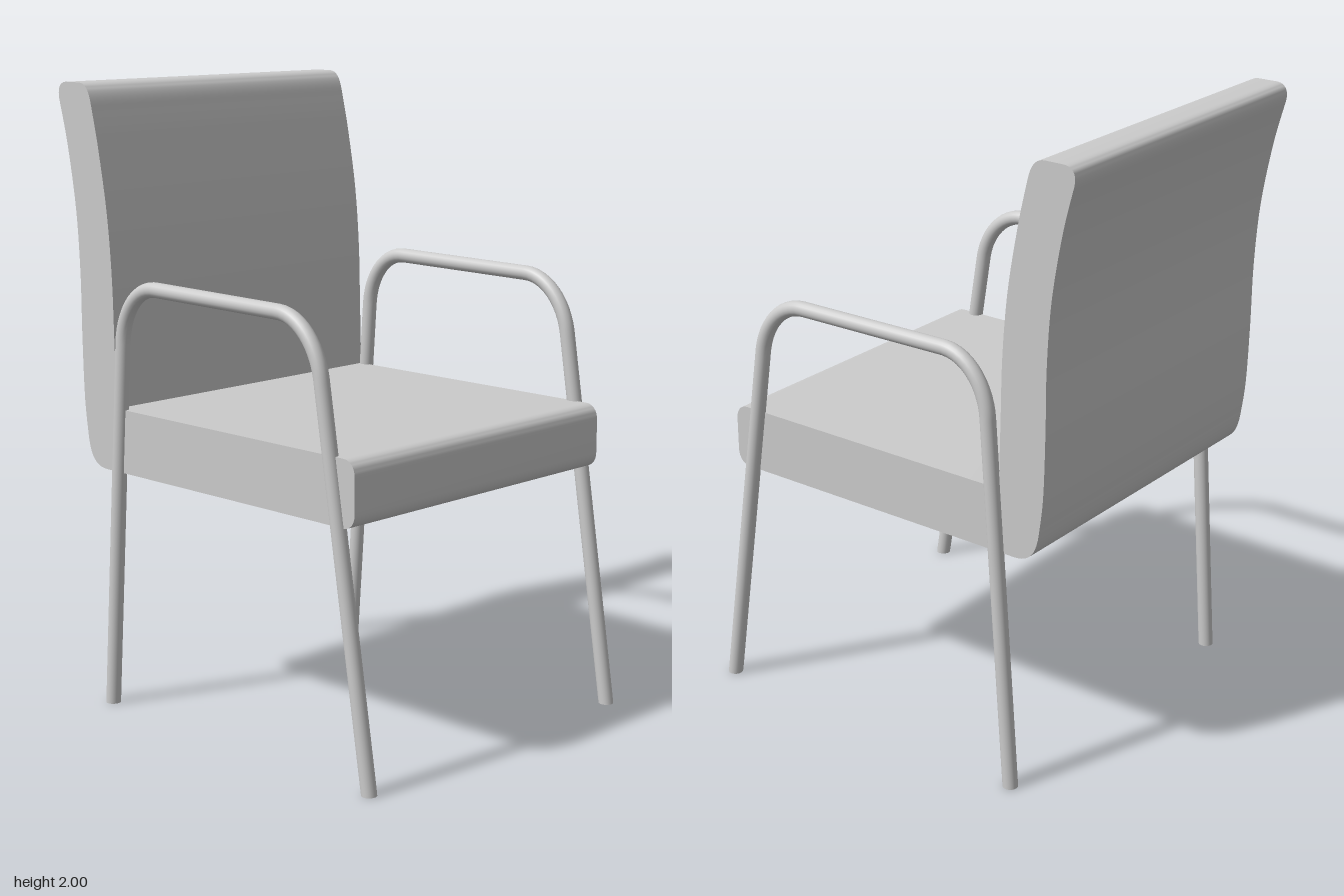
import * as THREE from 'three';
import { toCreasedNormals } from 'three/addons/utils/BufferGeometryUtils.js';

const material = new THREE.MeshStandardMaterial({ color: 0xcccccc });
const TUBE_R = 0.024;

// Padded seat and back: one side profile (z, y) extruded across the width
function createShell() {
  const s = new THREE.Shape();
  const v = (z, y) => new THREE.Vector2(z, y);
  s.moveTo(0.565, 0.78);
  s.bezierCurveTo(0.592, 0.78, 0.61, 0.8, 0.61, 0.83);
  s.lineTo(0.61, 0.935);
  s.bezierCurveTo(0.61, 0.965, 0.592, 0.985, 0.565, 0.985);
  s.lineTo(-0.435, 0.985);
  s.splineThru([v(-0.441, 1.2), v(-0.447, 1.4), v(-0.465, 1.6), v(-0.5, 1.8), v(-0.53, 1.93)]);
  s.bezierCurveTo(-0.54, 1.975, -0.555, 2, -0.59, 2);
  s.lineTo(-0.65, 2);
  s.bezierCurveTo(-0.68, 2, -0.695, 1.98, -0.687, 1.945);
  s.splineThru([v(-0.65, 1.8), v(-0.616, 1.6), v(-0.602, 1.4), v(-0.6, 1.2), v(-0.594, 1.0), v(-0.58, 0.88)]);
  s.bezierCurveTo(-0.57, 0.81, -0.545, 0.78, -0.49, 0.78);
  s.closePath();

  const width = 1.112;
  const geo = new THREE.ExtrudeGeometry(s, { depth: width, bevelEnabled: false, curveSegments: 10 });
  geo.translate(0, 0, -width / 2);
  geo.rotateY(-Math.PI / 2);
  geo.translate(-0.006, 0, 0);
  const mesh = new THREE.Mesh(toCreasedNormals(geo, 0.7), material);
  mesh.name = 'seatAndBack';
  return mesh;
}

// Bent tube: front leg, armrest and rear leg in one piece
function createSideFrame(x, name) {
  const p = (z, y) => new THREE.Vector3(x, y, z);
  const frontFoot = p(0.667, 0), rearFoot = p(-0.487, 0);
  const path = new THREE.CurvePath();
  const bend = (a, corner, b) => new THREE.CubicBezierCurve3(
    a, a.clone().lerp(corner, 0.57), b.clone().lerp(corner, 0.57), b);
  const f0 = p(0.475, 1.2), f1 = p(0.3, 1.377);
  const r0 = p(-0.24, 1.383), r1 = p(-0.402, 1.2);
  path.add(new THREE.LineCurve3(frontFoot, f0));
  path.add(bend(f0, p(0.447, 1.376), f1));
  path.add(new THREE.LineCurve3(f1, r0));
  path.add(bend(r0, p(-0.389, 1.385), r1));
  path.add(new THREE.LineCurve3(r1, rearFoot));

  const segments = 160, sides = 20;
  const geo = new THREE.TubeGeometry(path, segments, TUBE_R, sides, false);
  // Level the two end rings with the floor
  const pos = geo.attributes.position;
  for (let i = 0; i <= sides; i++) {
    pos.setY(i, 0);
    pos.setY(segments * (sides + 1) + i, 0);
  }
  const group = new THREE.Group();
  group.name = name;
  const tube = new THREE.Mesh(geo, material);
  tube.name = 'legsAndArmrest';
  group.add(tube);

  // Foot end caps
  for (const foot of [frontFoot, rearFoot]) {
    const cap = new THREE.Mesh(new THREE.CircleGeometry(TUBE_R, sides), material);
    cap.rotation.x = Math.PI / 2;
    cap.position.copy(foot);
    cap.name = 'footCap';
    group.add(cap);
  }
  return group;
}

export function createModel() {
  const chair = new THREE.Group();
  chair.name = 'armchair';
  chair.add(
    createShell(),
    createSideFrame(0.559, 'leftFrame'),
    createSideFrame(-0.559, 'rightFrame'),
  );
  return chair;
}
